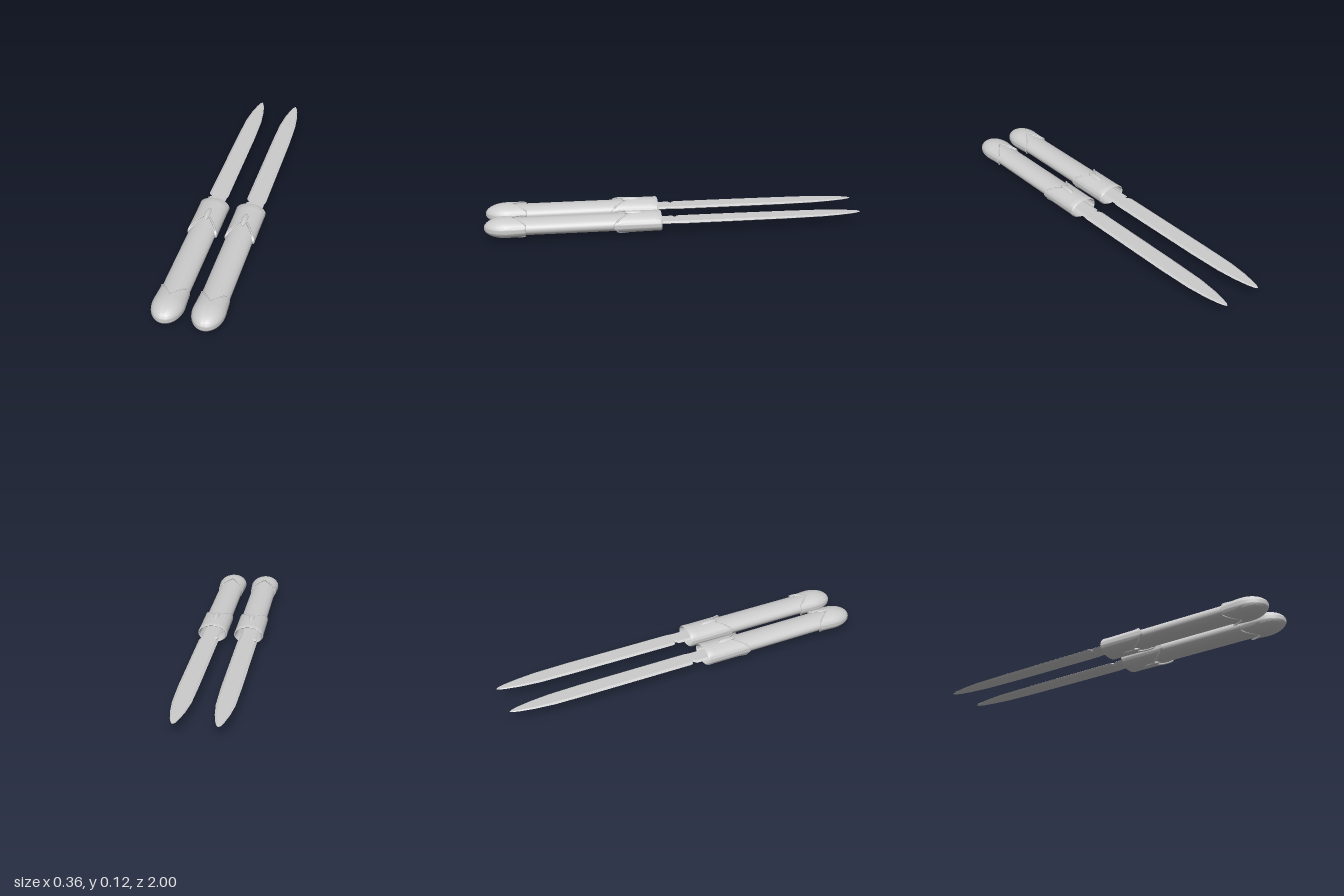
import * as THREE from 'three';
import { toCreasedNormals } from 'three/addons/utils/BufferGeometryUtils.js';

const mat = new THREE.MeshStandardMaterial({ color: 0xcccccc });
const SEG = 48;

// Closed tube of cross-sections; point(row, col) returns [x, y, z], rows running towards +z
function loft(rows, cols, point, crease = 0.6) {
  const pos = [], idx = [];
  for (let r = 0; r < rows; r++)
    for (let c = 0; c < cols; c++) pos.push(...point(r, c));
  for (let r = 0; r < rows - 1; r++)
    for (let c = 0; c < cols; c++) {
      const a = r * cols + c, b = r * cols + (c + 1) % cols;
      idx.push(a, b, a + cols, b, b + cols, a + cols);
    }
  const g = new THREE.BufferGeometry();
  g.setAttribute('position', new THREE.Float32BufferAttribute(pos, 3));
  g.setIndex(idx);
  return toCreasedNormals(g, crease);
}

function add(group, name, geometry) {
  const mesh = new THREE.Mesh(geometry, mat);
  mesh.name = name;
  group.add(mesh);
  return mesh;
}

// Chevron edges: apex on the top and bottom, points reaching along the sides
const collarEdge = a => 0.22 + 0.11 * Math.abs(Math.cos(a));
const pommelEdge = a => 0.865 - 0.08 * Math.min(1, Math.abs(Math.cos(a)) * 1.25);

// Rounded pommel radius along z
function pommelScale(z) {
  if (z < 0.88) return 1 - 0.08 * (0.88 - z) / 0.1;
  return Math.pow(Math.max(0, 1 - Math.pow((z - 0.88) / 0.12, 2.1)), 0.5);
}

// Hollow collar: inner wall, rim, outer wall, then the step down to the grip
function collarGeometry() {
  const profile = [
    [0.2, 0.064, 0.038], [0.2, 0.071, 0.043], [0.085, 0.071, 0.043],
    [0.078, 0.075, 0.047], [0.085, 0.08, 0.051], [0.12, 0.079, 0.05],
  ];
  const outer = 8, n = profile.length;
  return loft(n + outer + 1, SEG, (r, c) => {
    const a = c / SEG * Math.PI * 2;
    let z, rx, ry;
    if (r < n) [z, rx, ry] = profile[r];
    else {
      const t = Math.min(1, (r - n + 1) / outer);
      z = 0.12 + (collarEdge(a) - 0.12) * t;
      rx = 0.079;
      ry = 0.05 + 0.002 * t;
      if (r === n + outer) { rx = 0.068; ry = 0.04; z += 0.006; }
    }
    return [rx * Math.cos(a), ry * Math.sin(a), z];
  });
}

function pommelGeometry() {
  const rows = 20;
  return loft(rows + 1, SEG, (r, c) => {
    const a = c / SEG * Math.PI * 2, e = pommelEdge(a);
    if (r === 0) return [0.068 * Math.cos(a), 0.04 * Math.sin(a), e - 0.004];
    const t = Math.sin((r - 1) / (rows - 1) * Math.PI / 2);
    const z = e + (1 - e) * t, s = pommelScale(z);
    return [0.081 * s * Math.cos(a), 0.053 * s * Math.sin(a), z];
  });
}

// Raised bead following a chevron edge on the top (side = 1) or bottom (side = -1)
function beadGeometry(edge, rx, ry, radius, side) {
  const pts = [];
  for (let i = 0; i <= 24; i++) {
    const a = side * (0.16 + 0.68 * i / 24) * Math.PI;
    pts.push(new THREE.Vector3(rx * Math.cos(a), ry * Math.sin(a), edge(a)));
  }
  return new THREE.TubeGeometry(new THREE.CatmullRomCurve3(pts), 48, radius, 6);
}

// Blade stations: z, left edge, right edge, half thickness
const stations = [
  [-1, 0, 0.004, 0.001], [-0.985, -0.01, 0.013, 0.003], [-0.95, -0.02, 0.024, 0.004],
  [-0.88, -0.034, 0.037, 0.005], [-0.78, -0.045, 0.048, 0.006], [-0.6, -0.049, 0.053, 0.007],
  [-0.3, -0.051, 0.053, 0.008], [-0.02, -0.053, 0.053, 0.008], [-0.008, -0.048, 0.052, 0.008],
  [0, -0.034, 0.05, 0.008], [0.006, -0.034, 0.048, 0.008], [0.016, -0.05, 0.048, 0.008],
  [0.22, -0.05, 0.048, 0.008],
];
function bladeGeometry() {
  return loft(stations.length, 6, (r, c) => {
    const [z, l, rt, t] = stations[r];
    const mid = (l + rt) / 2, half = (rt - l) / 2;
    const x = [1, 0.75, -0.75, -1, -0.75, 0.75][c], y = [0, 1, 1, 0, -1, -1][c];
    return [mid + half * x, y * t, z];
  }, 0.3);
}

function makeKnife(side) {
  const knife = new THREE.Group();
  knife.name = side > 0 ? 'leftKnife' : 'rightKnife';

  add(knife, 'blade', bladeGeometry()).position.x = side * 0.005;

  // Oval grip running from inside the collar into the pommel
  const grip = new THREE.CylinderGeometry(1, 1, 0.72, SEG);
  grip.rotateX(Math.PI / 2);
  grip.scale(0.07, 0.042, 1);
  add(knife, 'grip', grip).position.z = 0.53;

  add(knife, 'collar', collarGeometry());
  add(knife, 'pommel', pommelGeometry());

  for (const s of [1, -1]) {
    add(knife, 'collarBead', beadGeometry(collarEdge, 0.077, 0.05, 0.005, s));
    add(knife, 'pommelBead', beadGeometry(pommelEdge, 0.076, 0.049, 0.004, s));
    // Swelling at the chevron apex
    const knob = add(knife, 'collarKnob', new THREE.SphereGeometry(1, 20, 12));
    knob.scale.set(0.016, 0.011, 0.05);
    knob.position.set(0, s * 0.049, 0.222);
  }

  knife.position.set(side * 0.099, 0.06, 0);
  return knife;
}

export function createModel() {
  const model = new THREE.Group();
  model.name = 'pairOfKnives';
  model.add(makeKnife(1), makeKnife(-1));
  return model;
}
